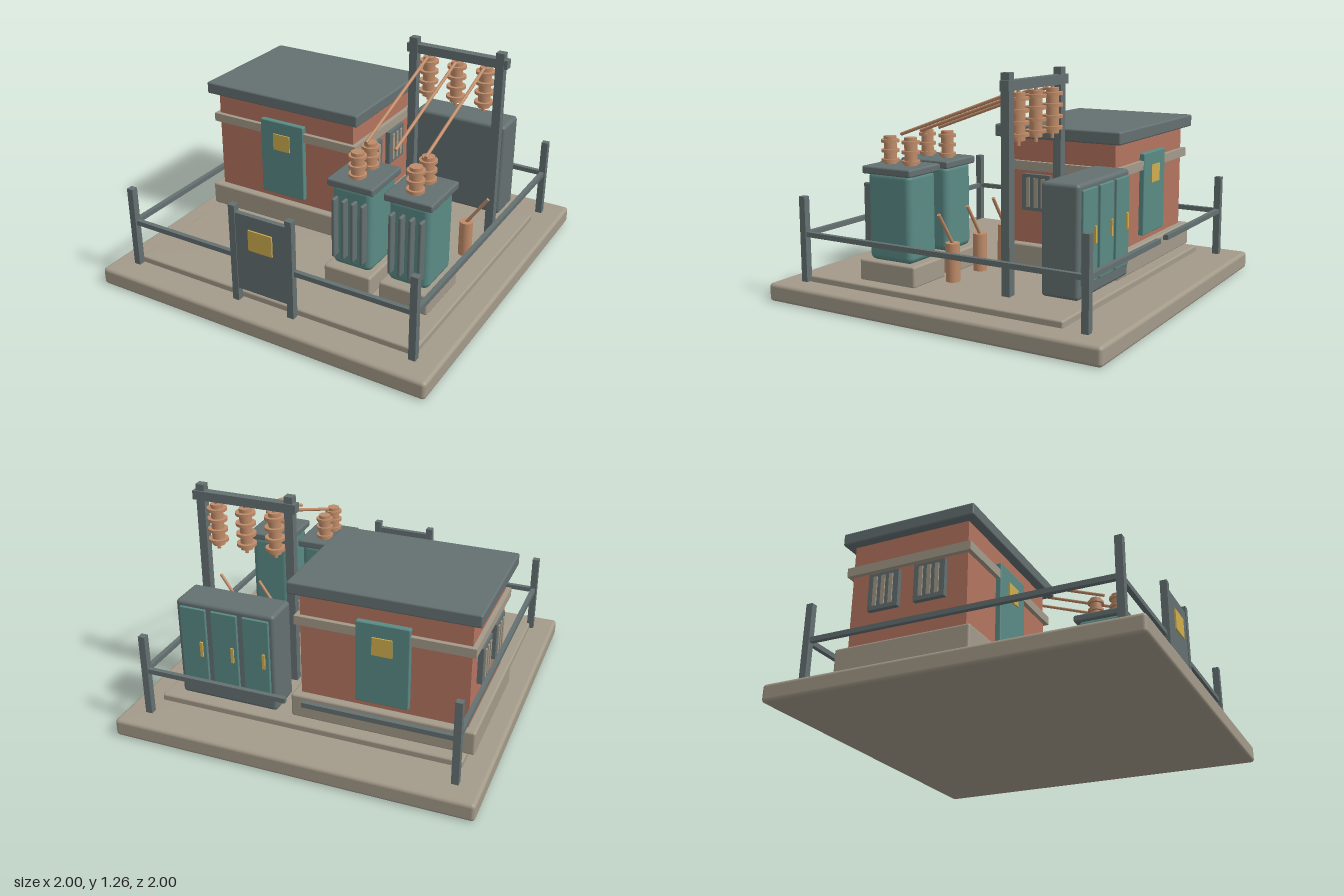
import * as THREE from 'three';
import { RoundedBoxGeometry } from 'three/addons/geometries/RoundedBoxGeometry.js';

function material(name, color) {
  const m = new THREE.MeshStandardMaterial({ color });
  m.name = name;
  return m;
}

export function createModel() {
  const concrete = material('concrete', 0xa39a89);
  const brick = material('brick', 0xb4745f);
  const teal = material('teal paint', 0x5a8a85);
  const steel = material('grey steel', 0x647071);
  const yellow = material('warning yellow', 0xd0ae4e);
  const copper = material('copper ceramic', 0xbf8b68);

  const root = new THREE.Group();
  root.name = 'substation';

  const group = (name, parent = root) => {
    const g = new THREE.Group();
    g.name = name;
    parent.add(g);
    return g;
  };
  // Box given by its limits on each axis; r rounds the edges
  const box = (parent, name, mat, [x0, x1], [y0, y1], [z0, z1], r = 0) => {
    const s = [x1 - x0, y1 - y0, z1 - z0];
    const geo = r ? new RoundedBoxGeometry(...s, 3, r) : new THREE.BoxGeometry(...s);
    const mesh = new THREE.Mesh(geo, mat);
    mesh.name = name;
    mesh.position.set((x0 + x1) / 2, (y0 + y1) / 2, (z0 + z1) / 2);
    parent.add(mesh);
    return mesh;
  };
  const around = (c, w) => [c - w / 2, c + w / 2];
  // Cylinder between two points
  const rod = (parent, name, mat, a, b, r) => {
    const from = new THREE.Vector3(...a), to = new THREE.Vector3(...b);
    const dir = to.clone().sub(from);
    const mesh = new THREE.Mesh(new THREE.CylinderGeometry(r, r, dir.length(), 20), mat);
    mesh.name = name;
    mesh.position.copy(from).add(to).multiplyScalar(0.5);
    mesh.quaternion.setFromUnitVectors(new THREE.Vector3(0, 1, 0), dir.normalize());
    parent.add(mesh);
  };
  // Ribbed insulator: core with evenly spaced discs
  const insulator = (parent, name, x, y0, y1, z, core, disc, count) => {
    const g = group(name, parent);
    rod(g, 'core', copper, [x, y0, z], [x, y1, z], core);
    for (let i = 0; i < count; i++) {
      const y = y0 + (y1 - y0) * (i + 0.5) / count;
      rod(g, 'disc', copper, [x, y - 0.008, z], [x, y + 0.008, z], disc);
    }
  };

  // Ground slabs
  box(root, 'baseSlab', concrete, [-1, 1], [0, 0.1], [-1, 1], 0.02);
  box(root, 'upperSlab', concrete, [-0.86, 0.86], [0.09, 0.135], [-0.73, 0.83], 0.01);

  // Brick control house
  const house = group('controlHouse');
  const zc = -0.275;
  box(house, 'plinth', concrete, [-0.9, 0.11], [0.13, 0.265], around(zc, 0.76), 0.012);
  box(house, 'walls', brick, [-0.85, 0.065], [0.26, 0.865], around(zc, 0.67));
  box(house, 'band', concrete, [-0.875, 0.09], [0.68, 0.73], around(zc, 0.72));
  box(house, 'roof', steel, [-0.9, 0.115], [0.86, 0.93], around(zc, 0.77), 0.01);
  for (const s of [1, -1]) {
    box(house, 'door', teal, [-0.54, -0.25], [0.305, 0.77], around(zc + s * 0.345, 0.04), 0.006);
    box(house, 'doorSign', yellow, [-0.45, -0.34], [0.595, 0.695], around(zc + s * 0.368, 0.009));
    const wallX = -0.3925 + s * 0.4575;
    for (const z of [-0.142, -0.408]) {
      const vent = group('vent', house);
      box(vent, 'ventPlate', steel, around(wallX + s * 0.008, 0.04), [0.455, 0.66], around(z, 0.175));
      for (const i of [-1, 0, 1])
        box(vent, 'ventSlat', concrete, around(wallX + s * 0.03, 0.009), [0.475, 0.64], around(z + i * 0.046, 0.022));
    }
  }

  // Two transformers with cooling fins and bushings
  for (const x of [0.308, 0.64]) {
    const t = group('transformer');
    box(t, 'pad', concrete, around(x, 0.28), [0.13, 0.247], [0.185, 0.545], 0.012);
    box(t, 'tank', teal, around(x, 0.235), [0.245, 0.725], [0.22, 0.5], 0.035);
    box(t, 'lid', steel, around(x, 0.272), [0.71, 0.752], [0.205, 0.518], 0.01);
    for (let i = 0; i < 4; i++)
      box(t, 'coolingFin', steel, around(x - 0.084 + i * 0.056, 0.02), [0.31, 0.655], [0.49, 0.543], 0.008);
    for (const z of [0.297, 0.432]) insulator(t, 'bushing', x, 0.745, 0.9, z, 0.034, 0.048, 3);
  }

  // Gantry with hanging insulators and sloping conductors
  const gantry = group('gantry');
  for (const x of [0.222, 0.738])
    box(gantry, 'gantryPost', steel, around(x, 0.048), [0.17, 1.265], around(-0.357, 0.046));
  box(gantry, 'gantryBeam', steel, [0.18, 0.78], [1.178, 1.228], around(-0.363, 0.05));
  for (const x of [0.31, 0.48, 0.65]) {
    insulator(gantry, 'hangingInsulator', x, 0.93, 1.165, -0.365, 0.034, 0.054, 4);
    rod(gantry, 'hanger', copper, [x, 0.905, -0.365], [x, 1.19, -0.365], 0.01);
    rod(gantry, 'conductor', copper, [x, 1.165, -0.34], [x, 0.915, 0.35], 0.009);
  }

  // Surge arresters with slanted leads
  for (const x of [0.23, 0.478, 0.73]) {
    const g = group('surgeArrester');
    rod(g, 'arresterBody', copper, [x, 0.195, -0.025], [x, 0.395, -0.025], 0.037);
    rod(g, 'arresterLead', copper, [x, 0.39, -0.025], [x + 0.117, 0.56, -0.025], 0.009);
  }

  // Switchgear cabinet, doors at the back
  const cabinet = group('switchCabinet');
  box(cabinet, 'cabinetBody', steel, [0.155, 0.72], [0.19, 0.755], [-0.735, -0.53], 0.02);
  for (const x of [0.257, 0.438, 0.619]) {
    box(cabinet, 'cabinetDoor', teal, around(x, 0.15), [0.26, 0.725], [-0.748, -0.725], 0.005);
    box(cabinet, 'cabinetHandle', yellow, around(x - 0.045, 0.016), [0.45, 0.535], [-0.757, -0.748]);
  }

  // Perimeter fence, open at the middle of the back
  const fence = group('fence');
  const railY = [0.35, 0.377];
  for (const s of [1, -1]) {
    for (const z of [0.85, -0.855])
      box(fence, 'fencePost', steel, around(s * 0.862, 0.038), [0.1, 0.57], around(z, 0.038));
    box(fence, 'sideRail', steel, around(s * 0.862, 0.026), railY, [-0.84, 0.835]);
  }
  box(fence, 'frontRail', steel, [-0.845, 0.845], railY, around(0.846, 0.026));
  box(fence, 'backRail', steel, [-0.845, -0.048], railY, around(-0.857, 0.026));
  box(fence, 'backRail', steel, [0.043, 0.845], railY, around(-0.857, 0.026));

  // Front gate with warning plate
  const gate = group('gate');
  for (const x of [-0.175, 0.168])
    box(gate, 'gatePost', steel, around(x, 0.038), [0.1, 0.665], around(0.855, 0.038));
  box(gate, 'gatePanel', steel, [-0.16, 0.152], [0.178, 0.627], around(0.856, 0.028));
  box(gate, 'gateSign', yellow, [-0.075, 0.07], [0.433, 0.55], around(0.874, 0.009));

  return root;
}
